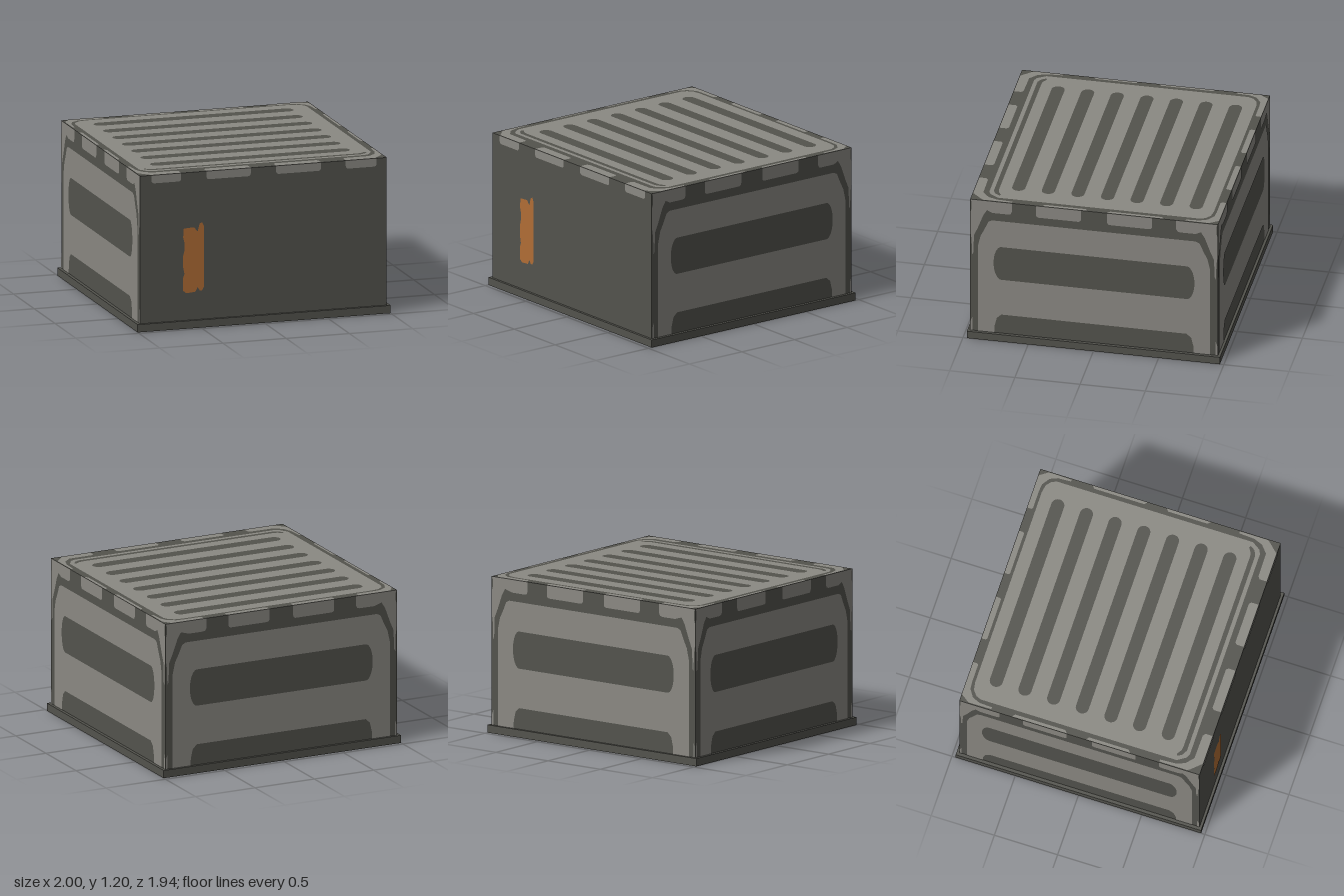
import * as THREE from 'three';

const W = 0.975, D = 0.95, TOP = 1.2, LIP = 0.06, GAP = 0.002;

function mat(name, color) {
  const m = new THREE.MeshStandardMaterial({ color });
  m.name = name;
  return m;
}

const poly = (pts) => new THREE.Shape(pts.map(([x, y]) => new THREE.Vector2(x, y)));
const flip = (pts) => pts.map(([x, y]) => [-x, y]);

// Slot with curved ends: half length, lower and upper edge, depth of the end curve
function slot(half, lo, hi, end) {
  const s = new THREE.Path();
  const m = (lo + hi) / 2, a = half - end, r = (hi - lo) / 2;
  s.moveTo(-a, lo);
  s.lineTo(a, lo);
  s.absellipse(a, m, end, r, -Math.PI / 2, Math.PI / 2, false);
  s.lineTo(-a, hi);
  s.absellipse(-a, m, end, r, Math.PI / 2, Math.PI * 1.5, false);
  return s;
}

// Tab hanging from an edge, with rounded lower corners
function tab(x0, x1, edge, depth) {
  const s = new THREE.Shape(), c = 0.025, y = edge - depth;
  s.moveTo(x0, edge);
  s.lineTo(x0, y + c);
  s.quadraticCurveTo(x0, y, x0 + c, y);
  s.lineTo(x1 - c, y);
  s.quadraticCurveTo(x1, y, x1, y + c);
  s.lineTo(x1, edge);
  return s;
}

export function createModel() {
  const dark = mat('dark grey', 0x53534d);
  const light = mat('light grey', 0x8b8983);
  const orange = mat('orange', 0xb06d35);
  const model = new THREE.Group();

  const box = (name, w, h, d, y) => {
    const m = new THREE.Mesh(new THREE.BoxGeometry(w, h, d), dark);
    m.name = name;
    m.position.y = y;
    model.add(m);
  };
  box('base', 2, LIP, 1.94, LIP / 2);
  box('body', W * 2, TOP - LIP, D * 2, (TOP + LIP) / 2);

  const plate = (parent, name, shapes, material) => {
    const m = new THREE.Mesh(new THREE.ShapeGeometry(shapes, 10), material);
    m.name = name;
    parent.add(m);
  };
  const face = (name) => {
    const g = new THREE.Group();
    g.name = name;
    model.add(g);
    return g;
  };

  // Sides and back: slotted panel, corner pieces and tabs
  const addSide = (name, h, dist, angle) => {
    const g = face(name);
    g.rotation.y = angle;
    g.position.set(Math.sin(angle) * dist, 0, Math.cos(angle) * dist);
    const p = h - 0.06;
    const half = [[0.765, LIP], [0.762, 0.12], [0.745, 0.19], [0.71, 0.222]];
    const outer = [[p, LIP], [p, 0.8], [p - 0.02, 0.89], [p - 0.05, 0.95], [p - 0.08, 1.02], [p - 0.11, 1.035]];
    const right = [...half.slice().reverse(), ...outer];
    const panel = poly([...right, ...flip(right).reverse()]);
    panel.holes.push(slot(0.77, 0.525, 0.81, 0.06));
    plate(g, 'slottedPanel', panel, light);

    const corner = [[0.63, TOP], [0.63, 1.125], [0.64, 1.105], [0.66, 1.1], [0.78, 1.1], [h - 0.13, 1.12],
      [h - 0.1, 1.07], [h - 0.06, 0.96], [h - 0.03, 0.89], [h - 0.025, 0.74], [h - 0.015, 0.72],
      [h - 0.012, 0.85], [h - 0.002, 0.92], [h - 0.002, 1.09], [h - 0.012, 1.12], [h - 0.012, 1.18], [h - 0.002, TOP]];
    const sliver = [[h - 0.018, LIP], [h - 0.004, LIP], [h - 0.004, 0.14], [h - 0.018, 0.18]];
    for (const pts of [corner, sliver]) {
      plate(g, pts === corner ? 'cornerPiece' : 'edgeSliver', [poly(pts), poly(flip(pts))], light);
    }
    plate(g, 'tabs', [tab(-0.445, -0.1, TOP, 0.1), tab(0.1, 0.445, TOP, 0.1)], light);
  };
  addSide('leftSide', D, W + GAP, Math.PI / 2);
  addSide('rightSide', D, W + GAP, -Math.PI / 2);
  addSide('back', W, D + GAP, Math.PI);

  // Front: edge tabs and an orange worn label
  const front = face('front');
  front.position.z = D + GAP;
  plate(front, 'tabs', [[-0.885, -0.65], [-0.45, -0.1], [0.1, 0.455], [0.65, 0.895]]
    .map(([a, b]) => tab(a, b, TOP, 0.063)), light);
  plate(front, 'orangeLabel', poly([[-0.63, 0.77], [-0.55, 0.775], [-0.52, 0.74], [-0.505, 0.8], [-0.485, 0.81],
    [-0.47, 0.78], [-0.47, 0.31], [-0.485, 0.283], [-0.505, 0.285], [-0.52, 0.31], [-0.54, 0.275], [-0.61, 0.27],
    [-0.635, 0.29], [-0.635, 0.39], [-0.625, 0.42], [-0.635, 0.47], [-0.635, 0.56], [-0.625, 0.6],
    [-0.625, 0.66], [-0.635, 0.7]]), orange);

  // Top, drawn with its upward direction towards the back
  const top = face('top');
  top.rotation.x = -Math.PI / 2;
  top.position.y = TOP + GAP;
  const rim = [[0.84, -0.83], [0.875, -0.815], [0.917, -0.75], [0.917, 0.8], [0.9, 0.84], [0.86, 0.872], [0.8, 0.882]];
  const panel = poly([...rim, ...flip(rim).reverse()]);
  for (let i = 0; i < 7; i++) {
    const y = 0.735 - i * 0.2267;
    panel.holes.push(slot(0.787, y - 0.05, y + 0.05, 0.05));
  }
  // Thin groove along the front of the panel
  const groove = [[0.8, -0.765], [0.83, -0.76], [0.87, -0.735], [0.883, -0.745], [0.86, -0.78], [0.82, -0.8]];
  panel.holes.push(poly([...groove, ...flip(groove).reverse()]));
  plate(top, 'slottedPanel', panel, light);

  const backCorner = [[0.65, 0.948], [0.65, 0.915], [0.66, 0.905], [0.8, 0.905], [0.86, 0.9], [0.92, 0.86],
    [0.945, 0.8], [0.95, 0.7], [0.965, 0.7], [0.968, 0.88], [0.92, 0.948]];
  const frontCorner = [[0.65, -0.945], [0.885, -0.945], [0.955, -0.87], [0.968, -0.85], [0.968, -0.63],
    [0.952, -0.63], [0.945, -0.75], [0.92, -0.82], [0.86, -0.872], [0.67, -0.875], [0.65, -0.89]];
  for (const pts of [backCorner, frontCorner]) {
    plate(top, 'cornerPiece', [poly(pts), poly(flip(pts))], light);
  }
  const tabs = [];
  for (const [a, b] of [[-0.45, -0.1], [0.1, 0.455]]) {
    tabs.push(poly([[a, 0.946], [a, 0.915], [a + 0.01, 0.905], [b - 0.01, 0.905], [b, 0.915], [b, 0.946]]));
    tabs.push(poly([[a, -0.945], [b, -0.945], [b, -0.89], [b - 0.015, -0.875], [a + 0.015, -0.875], [a, -0.89]]));
  }
  for (const s of [-1, 1]) {
    for (const [a, b] of [[0.1, 0.535], [-0.4, -0.05]]) {
      tabs.push(poly([[s * 0.95, a + 0.02], [s * 0.972, a], [s * 0.972, b], [s * 0.95, b - 0.02]]));
    }
  }
  plate(top, 'tabs', tabs, light);

  return model;
}
